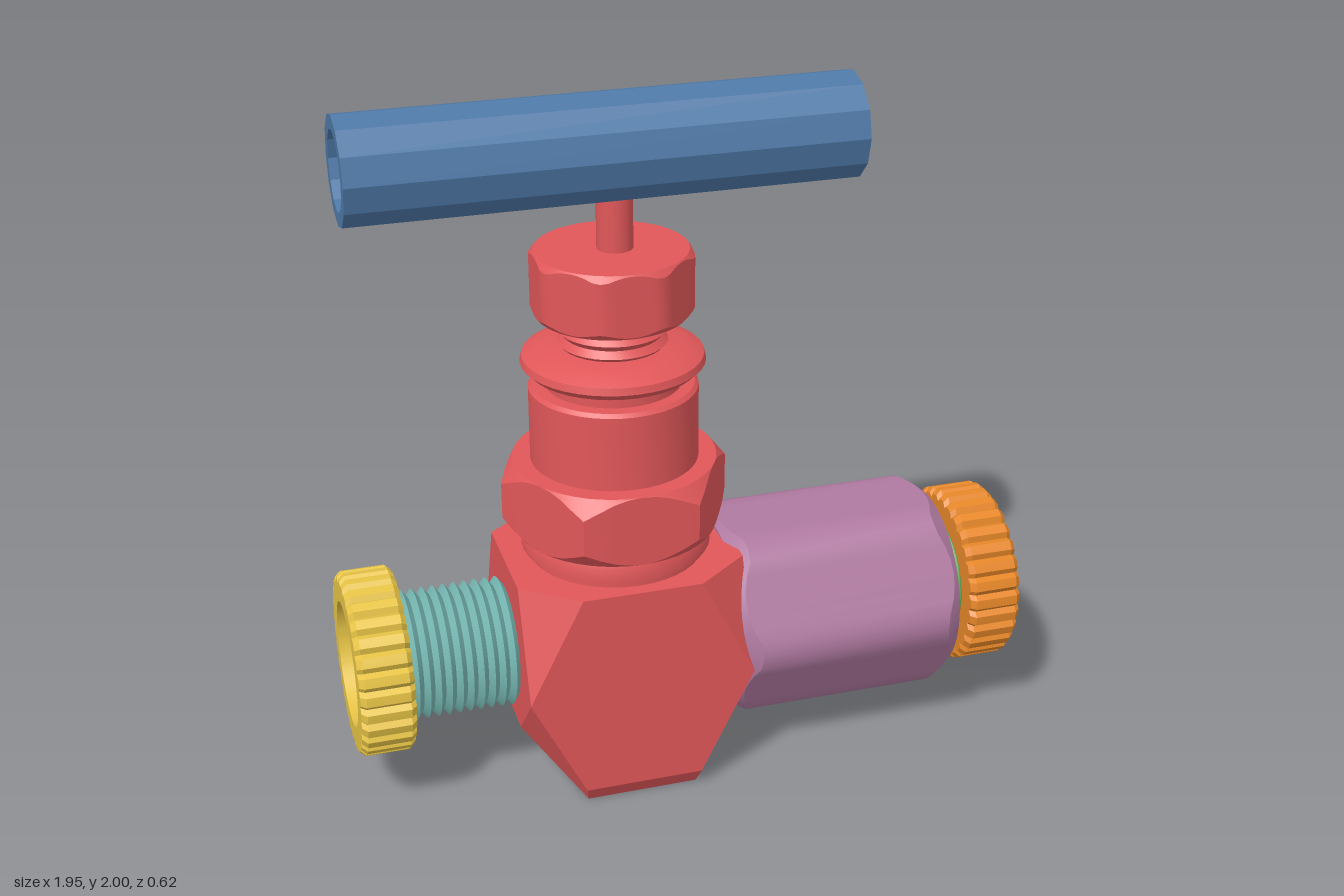
import * as THREE from 'three';
import { toCreasedNormals } from 'three/addons/utils/BufferGeometryUtils.js';
import { ConvexGeometry } from 'three/addons/geometries/ConvexGeometry.js';

const CX = -0.192; // vertical axis of the valve
const AXIS = 0.41; // height of the horizontal bore
const BORE = 0.12;

const mat = (name, color) => {
  const m = new THREE.MeshStandardMaterial({ color });
  m.name = name;
  return m;
};

// Turned solid; an optional rule(index, angle, r, y) returns a new [r, y] for each vertex
function turned(points, seg = 40, crease = 0.5, rule = null) {
  const geo = new THREE.LatheGeometry(points.map(([r, y]) => new THREE.Vector2(r, y)), seg);
  if (rule) {
    const pos = geo.attributes.position;
    const n = points.length;
    for (let i = 0; i < pos.count; i++) {
      const phi = ((Math.floor(i / n) % seg) / seg) * Math.PI * 2;
      const [r, y] = rule(i % n, phi, ...points[i % n]);
      pos.setXYZ(i, r * Math.sin(phi), y, r * Math.cos(phi));
    }
  }
  return toCreasedNormals(geo, crease);
}

// Closed tube profile from y0 to y1
const tube = (inner, outer, y0, y1) =>
  [[inner, y0], [outer, y0], [outer, y1], [inner, y1], [inner, y0]];

// Polygonal nut with chamfered corners; offset turns it by a share of one side
function nut({ sides, apothem, cap, end, bore, y0, y1, offset = 0 }) {
  const s = (Math.PI * 2) / sides;
  const points = [[bore, y0], [end, y0], [cap, y0], [cap, y1], [end, y1], [bore, y1], [bore, y0]];
  return turned(points, sides * 8, 0.45, (j, phi, r, y) => {
    if (r === bore) return [r, y];
    const d = ((phi + offset * s + 1e-6) % s) - s / 2;
    const p = Math.min(apothem / Math.cos(d), cap);
    const e = Math.min(p, end);
    if (j === 1 || j === 4) return [e, y];
    return [p, y + (j === 2 ? 1 : -1) * (p - e) * 1.25];
  });
}

// Tube with a zigzag thread on its outside
function threaded(inner, root, crest, y0, y1, turns) {
  const pts = [[inner, y0]];
  for (let i = 0; i <= turns * 2; i++) {
    pts.push([i % 2 ? crest : root, y0 + ((y1 - y0) * i) / (turns * 2)]);
  }
  pts.push([inner, y1], [inner, y0]);
  return turned(pts, 32);
}

// Ring with a notched rim
function knurled(inner, outer, y0, y1) {
  const b = 0.015;
  const pts = [[inner, y0], [outer - b, y0], [outer, y0 + b], [outer, y1 - b],
    [outer - b, y1], [inner, y1], [inner, y0]];
  return turned(pts, 120, 0.35, (j, phi, r, y) => {
    const notch = Math.round((phi / (Math.PI * 2)) * 120) % 4 === 0;
    return [r > inner && notch ? r - 0.014 : r, y];
  });
}

// Flat face with a round hole
function holedFace(corners, hx, hy, r) {
  const shape = new THREE.Shape(corners.map(([x, y]) => new THREE.Vector2(x, y)));
  shape.holes.push(new THREE.Path().absarc(hx, hy, r, 0, Math.PI * 2, true));
  return new THREE.ShapeGeometry(shape, 24);
}

// Faceted block, left open on the planes that carry holes
function blockShell() {
  const pts = [];
  for (const x of [-1, 1]) for (const z of [-1, 1]) {
    for (const [px, py, pz] of [
      [0.17, 0.67, 0.29], [0.325, 0.36, 0.29], [0.17, 0.05, 0.29],
      [0.325, 0.67, 0.17], [0.325, 0.2, 0.14], [0.16, 0, 0.26],
    ]) pts.push(new THREE.Vector3(px * x, py, pz * z));
  }
  const p = new ConvexGeometry(pts).attributes.position;
  const kept = [];
  for (let i = 0; i < p.count; i += 3) {
    const ids = [i, i + 1, i + 2];
    const open = ids.every((k) => p.getY(k) < 0.001)
      || ids.every((k) => p.getX(k) > 0.324) || ids.every((k) => p.getX(k) < -0.324);
    if (!open) for (const k of ids) kept.push(p.getX(k), p.getY(k), p.getZ(k));
  }
  const geo = new THREE.BufferGeometry();
  geo.setAttribute('position', new THREE.Float32BufferAttribute(kept, 3));
  geo.computeVertexNormals();
  return geo;
}

export function createModel() {
  const red = mat('red', 0xe15759);
  const blue = mat('blue', 0x4e79a7);
  const purple = mat('purple', 0xb07aa1);
  const teal = mat('teal', 0x76b7b2);
  const yellow = mat('yellow', 0xedc948);
  const orange = mat('orange', 0xf28e2b);
  const green = mat('green', 0x59a14f);

  const model = new THREE.Group();
  model.name = 'needleValve';
  const add = (name, geo, material, x = 0, y = 0) => {
    const mesh = new THREE.Mesh(geo, material);
    mesh.name = name;
    mesh.position.set(x, y, 0);
    model.add(mesh);
  };
  const upright = (name, geo) => add(name, geo, red, CX);
  const lying = (name, geo, material, y = AXIS) => add(name, geo.rotateZ(-Math.PI / 2), material, 0, y);

  // Body block with side bore and bottom recess
  upright('bodyBlock', blockShell());
  const sideFace = [[0.17, 0.67], [-0.17, 0.67], [-0.29, 0.36], [-0.14, 0.2], [0.14, 0.2], [0.29, 0.36]];
  for (const s of [-1, 1]) {
    const face = holedFace(sideFace, 0, AXIS, BORE).rotateY((s * Math.PI) / 2).translate(s * 0.325, 0, 0);
    upright(s > 0 ? 'bodyLeftFace' : 'bodyRightFace', face);
  }
  upright('bodyBottomFace',
    holedFace([[-0.16, -0.26], [0.16, -0.26], [0.16, 0.26], [-0.16, 0.26]], 0, 0, 0.1).rotateX(Math.PI / 2));
  upright('bottomRecess', turned([[0, 0.2], [0.1, 0.2], [0.1, 0]]));
  lying('bodyBore', turned([[BORE, 0.133], [BORE, -0.517]]), red);

  // Bonnet stack
  upright('neck', turned([[0.25, 0.66], [0.25, 0.685], [0.268, 0.695], [0.268, 0.735], [0.25, 0.77]]));
  upright('bonnetNut', nut({ sides: 6, apothem: 0.285, cap: 0.325, end: 0.285, bore: 0.02, y0: 0.755, y1: 0.96, offset: 0.5 }));
  upright('bonnetBarrel', turned([[0.235, 0.95], [0.235, 1.175], [0.225, 1.185], [0.19, 1.185], [0.19, 1.22],
    [0.235, 1.23], [0.255, 1.25], [0.25, 1.27], [0.2, 1.295], [0.13, 1.3]]));
  upright('packingThread', threaded(0.05, 0.135, 0.152, 1.29, 1.4, 3));
  upright('packingNut', nut({ sides: 8, apothem: 0.213, cap: 0.225, end: 0.21, bore: 0.02, y0: 1.39, y1: 1.57, offset: 0.5 }));
  add('stem', new THREE.CylinderGeometry(0.05, 0.05, 0.36, 16), red, -0.182, 1.725);

  // Handle bar
  lying('handle', turned(tube(0.108, 0.147, -0.91, 0.482), 12, 0.1), blue, 1.853);

  // Left outlet
  lying('hexCoupling', nut({ sides: 6, apothem: 0.283, cap: 0.31, end: 0.27, bore: BORE, y0: 0.105, y1: 0.77 }), purple);
  lying('leftPipe', threaded(BORE, 0.17, 0.182, 0.765, 0.86, 3), green);
  lying('leftKnurledRing', knurled(0.178, 0.262, 0.815, 0.97), orange);

  // Right inlet
  lying('rightPipe', threaded(BORE, 0.165, 0.185, -0.88, -0.515, 12), teal);
  lying('rightKnurledRing', knurled(0.178, 0.262, -0.977, -0.825), yellow);

  return model;
}
